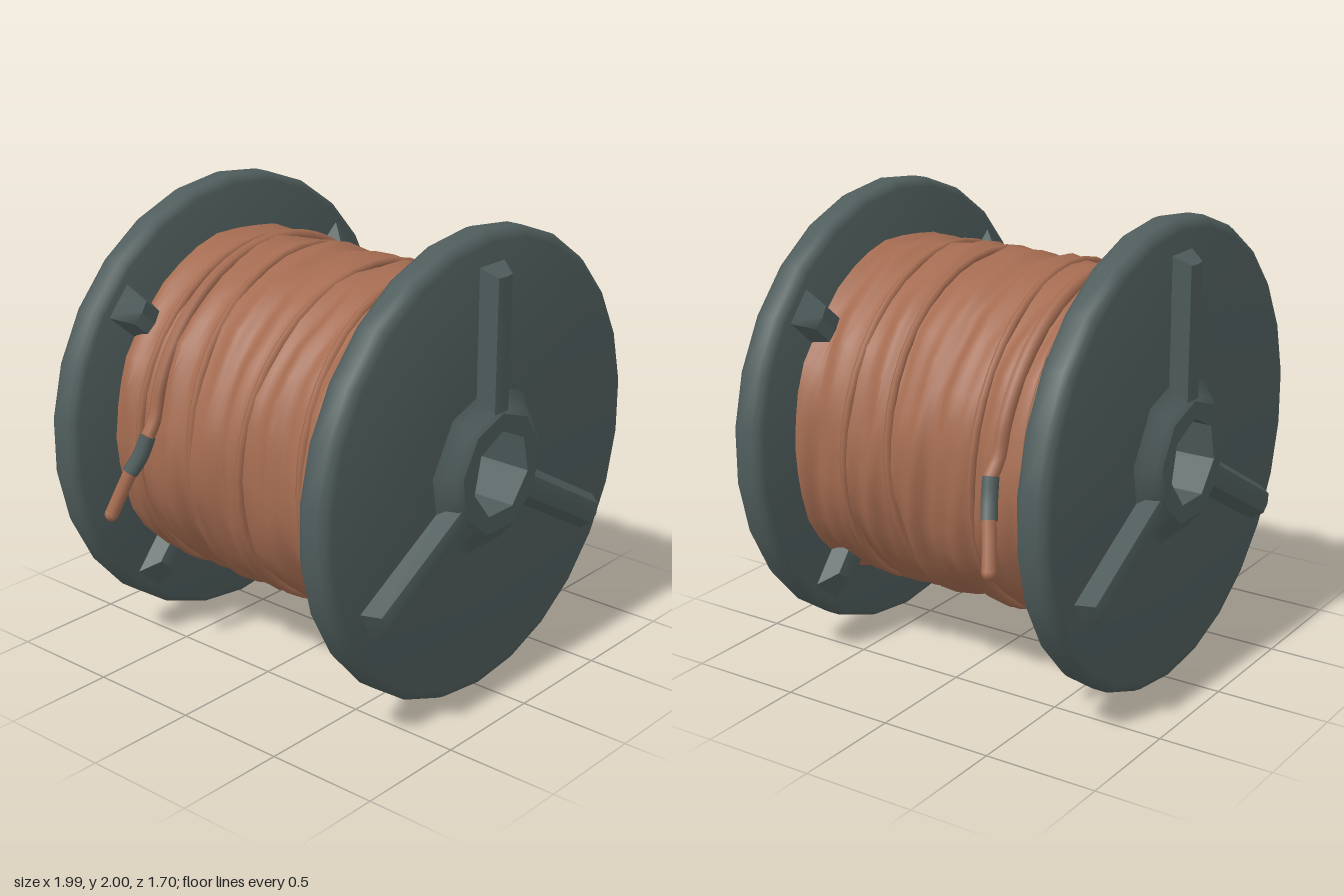
import * as THREE from 'three';
import { toCreasedNormals } from 'three/addons/utils/BufferGeometryUtils.js';

const steel = new THREE.MeshStandardMaterial({ color: 0x4f5d5c });
steel.name = 'slate grey';
const copper = new THREE.MeshStandardMaterial({ color: 0xa56c51 });
copper.name = 'copper';

function add(parent, name, geometry, material) {
  const mesh = new THREE.Mesh(geometry, material);
  mesh.name = name;
  parent.add(mesh);
  return mesh;
}

// Turned part around the z axis from [radius, z] pairs, first corner pointing up
function turned(profile, sides, crease = 0.6) {
  const pts = profile.map(([r, z]) => new THREE.Vector2(r, z));
  const g = new THREE.LatheGeometry(pts, sides, Math.PI).rotateX(Math.PI / 2);
  return toCreasedNormals(g, crease);
}

function polygon(Type, radius, sides) {
  const pts = [];
  for (let i = 0; i < sides; i++) {
    const a = Math.PI / 2 + (i / sides) * Math.PI * 2;
    pts.push(new THREE.Vector2(radius * Math.cos(a), radius * Math.sin(a)));
  }
  return new Type(pts);
}

// Radial bar along +x from r0 to r1, narrowing from the base (z = 0) to its top
function rib(r0, r1, width, height, topWidth, endSlope) {
  const g = new THREE.BoxGeometry(r1 - r0, width, height, 1, 2, 1);
  g.translate((r0 + r1) / 2, 0, height / 2);
  const p = g.attributes.position;
  for (let i = 0; i < p.count; i++) {
    if (p.getZ(i) < height / 2) continue;
    const edge = Math.abs(p.getY(i)) > 0.001;
    p.setY(i, p.getY(i) * topWidth / width);
    if (edge) p.setZ(i, height * 0.9);
    if (p.getX(i) > (r0 + r1) / 2) p.setX(i, r1 - endSlope);
  }
  return toCreasedNormals(g, 0.7);
}

// One end disc with its hub, outer spokes and inner lugs, facing +z
function makeFlange(name) {
  const flange = new THREE.Group();
  flange.name = name;
  add(flange, 'disc', turned([
    [0.21, 0.62], [0.965, 0.62], [0.99, 0.635], [1, 0.66], [1, 0.73],
    [0.985, 0.757], [0.955, 0.77], [0.21, 0.77]], 26, 1), steel);

  // Hub collar and its pierced face
  add(flange, 'hubCollar', turned([[0.37, 0.765], [0.32, 0.79], [0.29, 0.83], [0.26, 0.848]], 9, 0.9), steel);
  const face = polygon(THREE.Shape, 0.26, 9);
  face.holes.push(polygon(THREE.Path, 0.185, 7));
  add(flange, 'hubFace', new THREE.ShapeGeometry(face).translate(0, 0, 0.848), steel);

  for (const deg of [90, 210, 330]) {
    const spoke = add(flange, 'spoke', rib(0.25, 0.87, 0.165, 0.08, 0.09, 0.04), steel);
    spoke.position.z = 0.765;
    spoke.rotation.z = THREE.MathUtils.degToRad(deg);
  }
  for (const deg of [40, 140, 230, 310]) {
    const lug = add(flange, 'innerLug', rib(0.5, 0.94, 0.17, 0.085, 0.11, 0.09), steel);
    lug.position.z = 0.63;
    lug.rotation.set(Math.PI, 0, THREE.MathUtils.degToRad(deg), 'ZYX');
  }
  return flange;
}

// Uneven winding: ridges along z that wander as they go round
function makeWinding() {
  const profile = [];
  for (let i = 0; i <= 56; i++) profile.push(new THREE.Vector2(0.75, -0.625 + 1.25 * i / 56));
  const g = new THREE.LatheGeometry(profile, 40).rotateX(Math.PI / 2);
  const p = g.attributes.position;
  for (let i = 0; i < p.count; i++) {
    const a = Math.atan2(p.getY(i), p.getX(i));
    const z = p.getZ(i);
    const w = z + 0.03 * Math.sin(a * 2 + z * 3) + 0.015 * Math.sin(a * 5 + 1);
    const ridge = 0.009 * Math.sin(w * 31) + 0.007 * Math.sin(w * 53 + 2 * Math.sin(a));
    const lump = 0.006 * Math.sin(a * 7 + z * 9) + 0.004 * Math.sin(a * 13 - z * 17);
    const s = (0.75 + ridge + lump + 0.012 * Math.pow(Math.abs(z) / 0.62, 6)) / 0.75;
    p.setXY(i, p.getX(i) * s, p.getY(i) * s);
  }
  return toCreasedNormals(g, 0.7);
}

function tube(points, radius, steps) {
  return new THREE.TubeGeometry(new THREE.CatmullRomCurve3(points), steps, radius, 7);
}

export function createModel() {
  const model = new THREE.Group();
  model.name = 'cableSpool';
  const spool = new THREE.Group();
  spool.name = 'spool';
  spool.position.y = 1;
  model.add(spool);

  // End discs and the bore between them
  spool.add(makeFlange('frontFlange'));
  const back = makeFlange('backFlange');
  back.rotation.y = Math.PI;
  spool.add(back);
  add(spool, 'bore', turned([[0.185, 0.848], [0.185, -0.848]], 7, 0.3), steel);

  // Wound cable with a few loose turns lying across it
  add(spool, 'winding', makeWinding(), copper);
  for (const [z, tx, ty] of [[-0.5, 0.03, 0.02], [-0.22, -0.03, 0.05], [0.12, 0.05, -0.04], [0.4, -0.04, 0.03]]) {
    const turn = add(spool, 'looseTurn', new THREE.TorusGeometry(0.748, 0.018, 6, 40), copper);
    turn.position.z = z;
    turn.rotation.set(tx, ty, 0);
  }

  // Strand over the top with a sleeved free end on each side
  const V = (x, y, z) => new THREE.Vector3(x, y, z);
  const over = [];
  for (let i = 0; i <= 16; i++) {
    const a = THREE.MathUtils.lerp(0.2, Math.PI - 0.2, i / 16);
    over.push(V(0.76 * Math.cos(a), 0.752 * Math.sin(a), -0.385 - 0.02 * Math.sin(a)));
  }
  over.unshift(V(0.795, 0.08, -0.385));
  over.push(V(-0.795, 0.08, -0.385));
  add(spool, 'topStrand', tube(over, 0.03, 48), copper);
  for (const s of [1, -1]) {
    const end = new THREE.Group();
    end.name = s > 0 ? 'leftCableEnd' : 'rightCableEnd';
    spool.add(end);
    add(end, 'sleeve', tube([V(s * 0.793, 0.085, -0.385), V(s * 0.825, 0, -0.4), V(s * 0.865, -0.07, -0.425)], 0.035, 6), steel);
    add(end, 'bareTip', tube([V(s * 0.86, -0.06, -0.422), V(s * 0.895, -0.15, -0.447), V(s * 0.935, -0.25, -0.472)], 0.03, 6), copper);
    add(end, 'tipCap', new THREE.SphereGeometry(0.03, 8, 6).translate(s * 0.935, -0.25, -0.472), copper);
  }
  return model;
}
